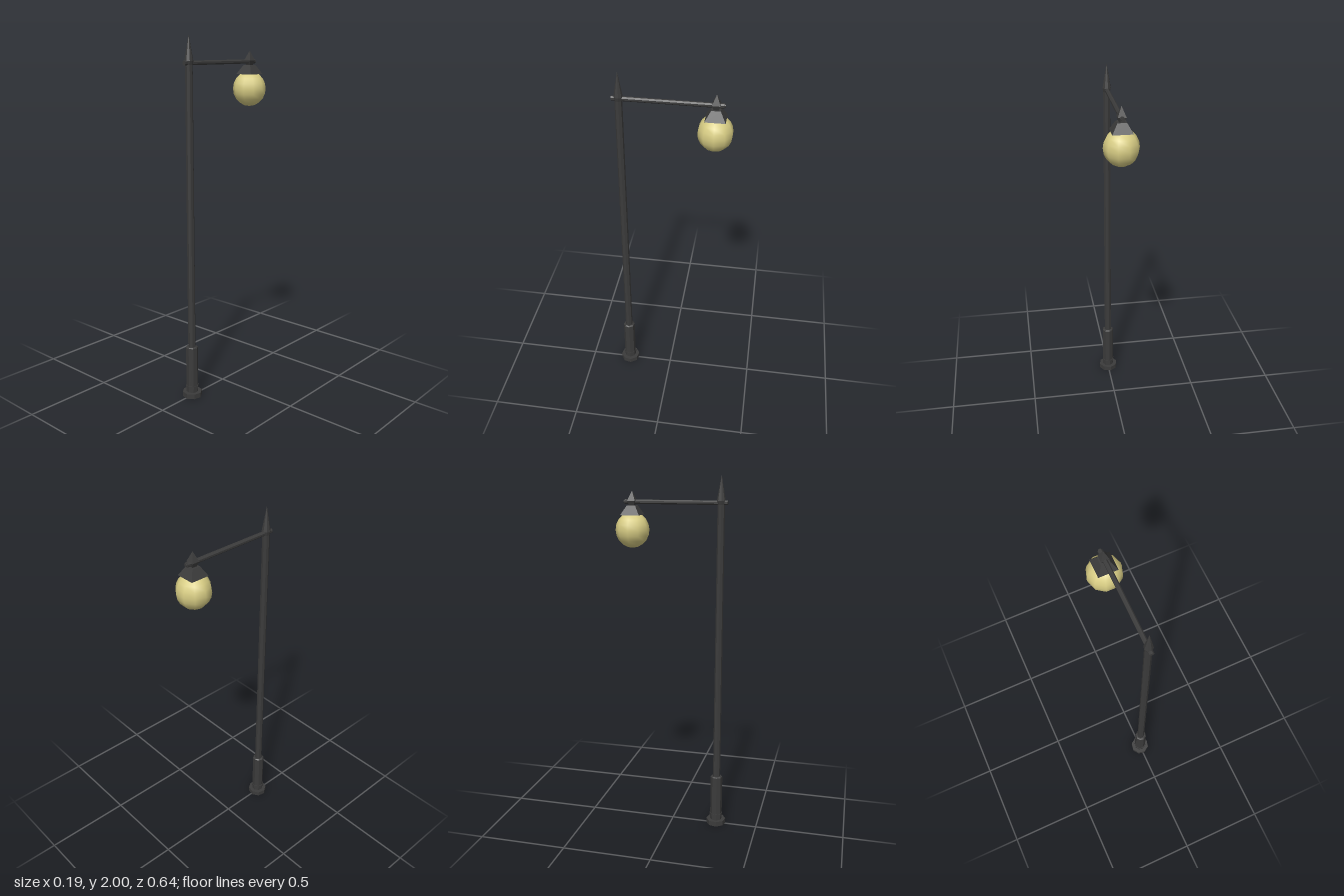
import * as THREE from 'three';

export function createModel() {
  const group = new THREE.Group();
  group.name = 'streetLamp';
  const iron = new THREE.MeshStandardMaterial({ color: 0x3b3b3b, flatShading: true });
  iron.name = 'dark iron';
  const glass = new THREE.MeshStandardMaterial({ color: 0xd8cd84 });
  glass.name = 'warm glass';

  const POST_Z = 0.262, LAMP_Z = -0.23, ARM_Y = 1.86, TURN = 0.19;

  const add = (name, geo, mat = iron) => {
    const mesh = new THREE.Mesh(geo, mat);
    mesh.name = name;
    group.add(mesh);
    return mesh;
  };
  // Upright tapered section from y0 to y1
  const section = (name, y0, y1, r0, r1, sides, z, turn) =>
    add(name, new THREE.CylinderGeometry(r1, r0, y1 - y0, sides, 1, false, turn)
      .translate(0, (y0 + y1) / 2, z));

  // Post: foot, collar, sleeve, shaft and pointed tip
  section('foot', 0, 0.028, 0.056, 0.056, 8, POST_Z, TURN);
  section('collar', 0.05, 0.066, 0.037, 0.037, 8, POST_Z, TURN);
  section('sleeve', 0.028, 0.295, 0.034, 0.034, 8, POST_Z, TURN);
  section('sleeveTop', 0.295, 0.3, 0.034, 0.027, 8, POST_Z, TURN);
  section('shaft', 0.3, 1.85, 0.021, 0.02, 8, POST_Z, TURN);
  section('tipFlare', 1.85, 1.87, 0.02, 0.024, 8, POST_Z, TURN);
  section('tip', 1.87, 2, 0.024, 0.001, 8, POST_Z, TURN);

  // Horizontal arm with a small stud at each end
  const rod = (name, z0, z1, r) =>
    add(name, new THREE.CylinderGeometry(r, r, z1 - z0, 8, 1, false, Math.PI / 8)
      .rotateX(Math.PI / 2).translate(0, ARM_Y, (z0 + z1) / 2));
  rod('arm', LAMP_Z - 0.02, 0.29, 0.0125);
  rod('armEndStud', -0.27, LAMP_Z - 0.02, 0.0135);
  rod('armEndCap', -0.276, -0.27, 0.009);
  rod('armPostStud', 0.29, 0.298, 0.0125);

  // Square lamp hood, neck and finial
  const d = Math.SQRT2, q = Math.PI / 4;
  section('hood', 1.79, 1.84, 0.053 * d, 0.024 * d, 4, LAMP_Z, q);
  section('hoodNeck', 1.84, 1.865, 0.013 * d, 0.022 * d, 4, LAMP_Z, q);
  section('finial', 1.865, 1.917, 0.022 * d, 0.001, 4, LAMP_Z, q);

  // Ten-sided glass globe
  add('globe', new THREE.SphereGeometry(0.093, 10, 10)
    .scale(1, 1.05, 1).translate(0, 1.709, LAMP_Z), glass);

  return group;
}
